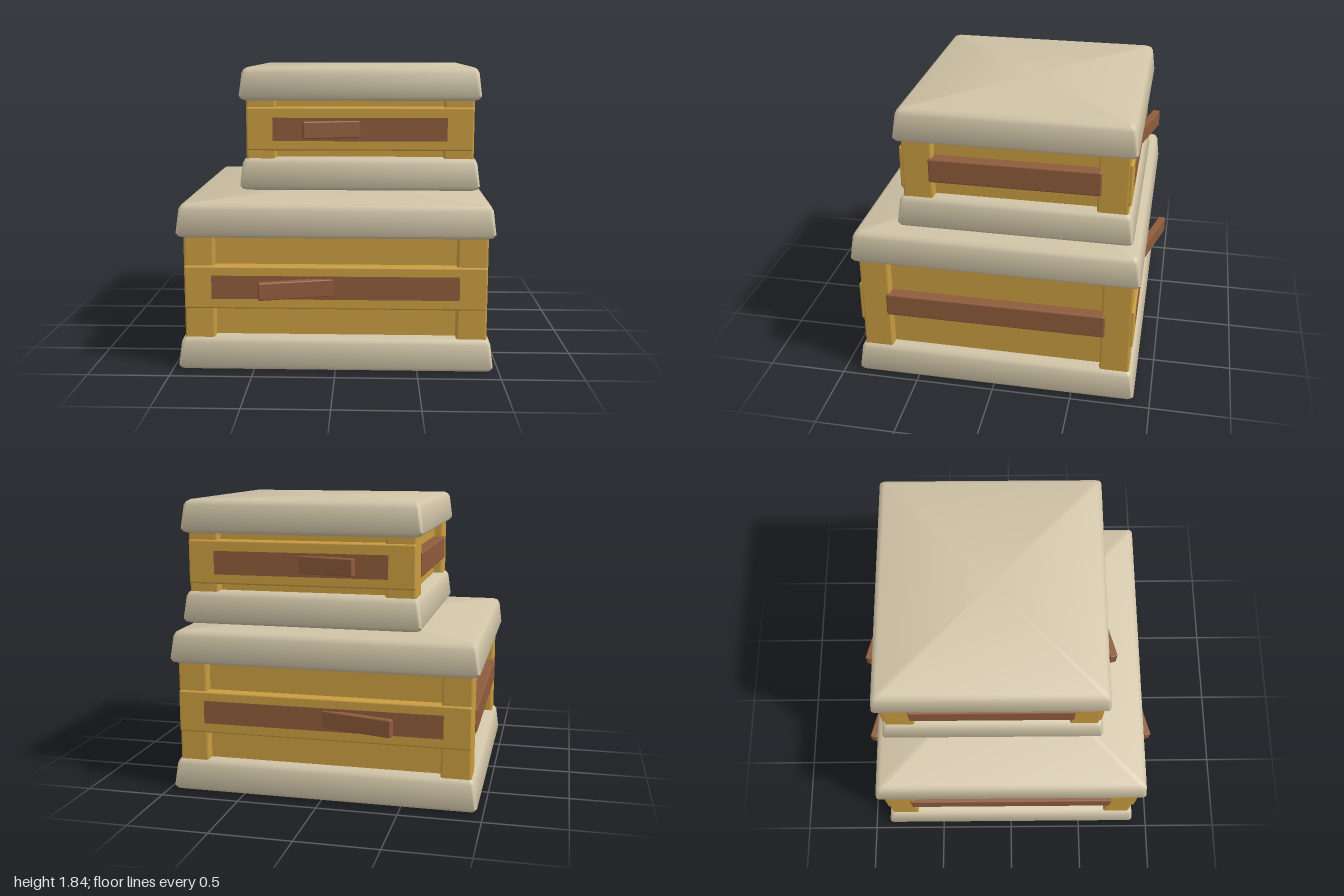
import * as THREE from 'three';
import { toCreasedNormals } from 'three/addons/utils/BufferGeometryUtils.js';
import { RoundedBoxGeometry } from 'three/addons/geometries/RoundedBoxGeometry.js';

const material = (name, color) => {
  const m = new THREE.MeshStandardMaterial({ color });
  m.name = name;
  return m;
};
const stone = material('pale stone', 0xcfc3a6);
const wood = material('golden wood', 0xc99c40);
const brown = material('brown wood', 0x8e5b3b);

function add(parent, name, geometry, mat, x, y, z) {
  const mesh = new THREE.Mesh(geometry, mat);
  mesh.name = name;
  mesh.position.set(x, y, z);
  parent.add(mesh);
  return mesh;
}

// Tapered slab with soft edges, lofted from stacked rounded rectangles
function slabGeometry(halfX, halfZ, h) {
  const rings = [[0, 0.035], [0.01, 0.012], [0.03, 0], [h - 0.035, 0.017], [h - 0.012, 0.029], [h, 0.05]];
  const signs = [[1, 1], [-1, 1], [-1, -1], [1, -1]];
  const r = 0.025, steps = 3, n = 4 * (steps + 1);
  const pos = [], index = [];
  for (const [y, inset] of rings) {
    signs.forEach(([sx, sz], corner) => {
      for (let k = 0; k <= steps; k++) {
        const a = (corner + k / steps) * Math.PI / 2;
        pos.push(sx * (halfX - inset - r) + r * Math.cos(a), y, sz * (halfZ - inset - r) + r * Math.sin(a));
      }
    });
  }
  const last = (rings.length - 1) * n, bottom = rings.length * n, top = bottom + 1;
  pos.push(0, 0, 0, 0, h, 0);
  for (let j = 0; j < n; j++) {
    const k = (j + 1) % n;
    for (let i = 0; i < last; i += n) {
      index.push(i + j, i + n + j, i + k, i + k, i + n + j, i + n + k);
    }
    index.push(bottom, j, k, top, last + k, last + j);
  }
  const g = new THREE.BufferGeometry();
  g.setAttribute('position', new THREE.Float32BufferAttribute(pos, 3));
  g.setIndex(index);
  return toCreasedNormals(g, 0.85);
}

// One crate: base and lid slabs, recessed body, corner posts, rails, boards, handles
function crate(c) {
  const g = new THREE.Group();
  g.name = c.name;
  const { halfX, halfZ, slabH, height, railY, railH } = c;
  const postX = halfX - 0.04, postZ = halfZ - 0.04;   // outer faces of the posts
  const postW = 0.187, recess = 0.06;
  const wallH = height - 2 * slabH, midY = height / 2;

  const slab = slabGeometry(halfX, halfZ, slabH);
  add(g, 'baseSlab', slab, stone, 0, 0, 0);
  add(g, 'lidSlab', slab, stone, 0, height - slabH, 0);
  add(g, 'body', new THREE.BoxGeometry(2 * (postX - recess), wallH + 0.04, 2 * (postZ - recess)), wood, 0, midY, 0);

  const post = new RoundedBoxGeometry(postW, wallH + 0.06, postW, 2, 0.016);
  const rail = new RoundedBoxGeometry(2 * postX - 0.006, railH, 0.1, 2, 0.012);
  const strip = new THREE.BoxGeometry(2 * c.stripX, 0.145, 0.004);
  const board = new RoundedBoxGeometry(0.09, 0.153, 2 * (postZ - postW + 0.024), 2, 0.012);
  const handle = new RoundedBoxGeometry(c.handleL, c.handleH, 0.048, 2, 0.008);
  const angle = 0.264;

  for (const s of [1, -1]) {
    for (const t of [1, -1]) {
      add(g, 'cornerPost', post, wood, s * (postX - postW / 2), midY, t * (postZ - postW / 2));
    }
    // Front and back: rail, painted strip and angled handle
    const face = postZ + 0.014;
    add(g, 'rail', rail, wood, 0, railY, s * (face - 0.05));
    add(g, 'railStrip', strip, brown, 0, c.boardY, s * face);
    const hx = c.handleEnd + c.handleL / 2 * Math.cos(angle);
    const hz = c.handleZ - c.handleL / 2 * Math.sin(angle);
    add(g, 'handle', handle, brown, hx, c.boardY + 0.002, s * hz).rotation.y = s * angle;
    // Left and right: plain board
    add(g, 'sideBoard', board, brown, s * (postX + 0.013 - 0.045), c.boardY + 0.002, 0);
  }
  return g;
}

export function createModel() {
  const model = new THREE.Group();
  model.name = 'stackedCrates';
  model.add(crate({
    name: 'lowerCrate', halfX: 0.963, halfZ: 0.897, slabH: 0.207, height: 1.033,
    railY: 0.518, railH: 0.265, boardY: 0.52, stripX: 0.753,
    handleL: 0.56, handleH: 0.108, handleEnd: -0.458, handleZ: 0.97,
  }));
  const upper = crate({
    name: 'upperCrate', halfX: 0.75, halfZ: 0.718, slabH: 0.205, height: 0.765,
    railY: 0.385, railH: 0.27, boardY: 0.382, stripX: 0.543,
    handleL: 0.44, handleH: 0.106, handleEnd: -0.351, handleZ: 0.765,
  });
  upper.position.set(0.142, 1.073, -0.117);
  model.add(upper);
  return model;
}
